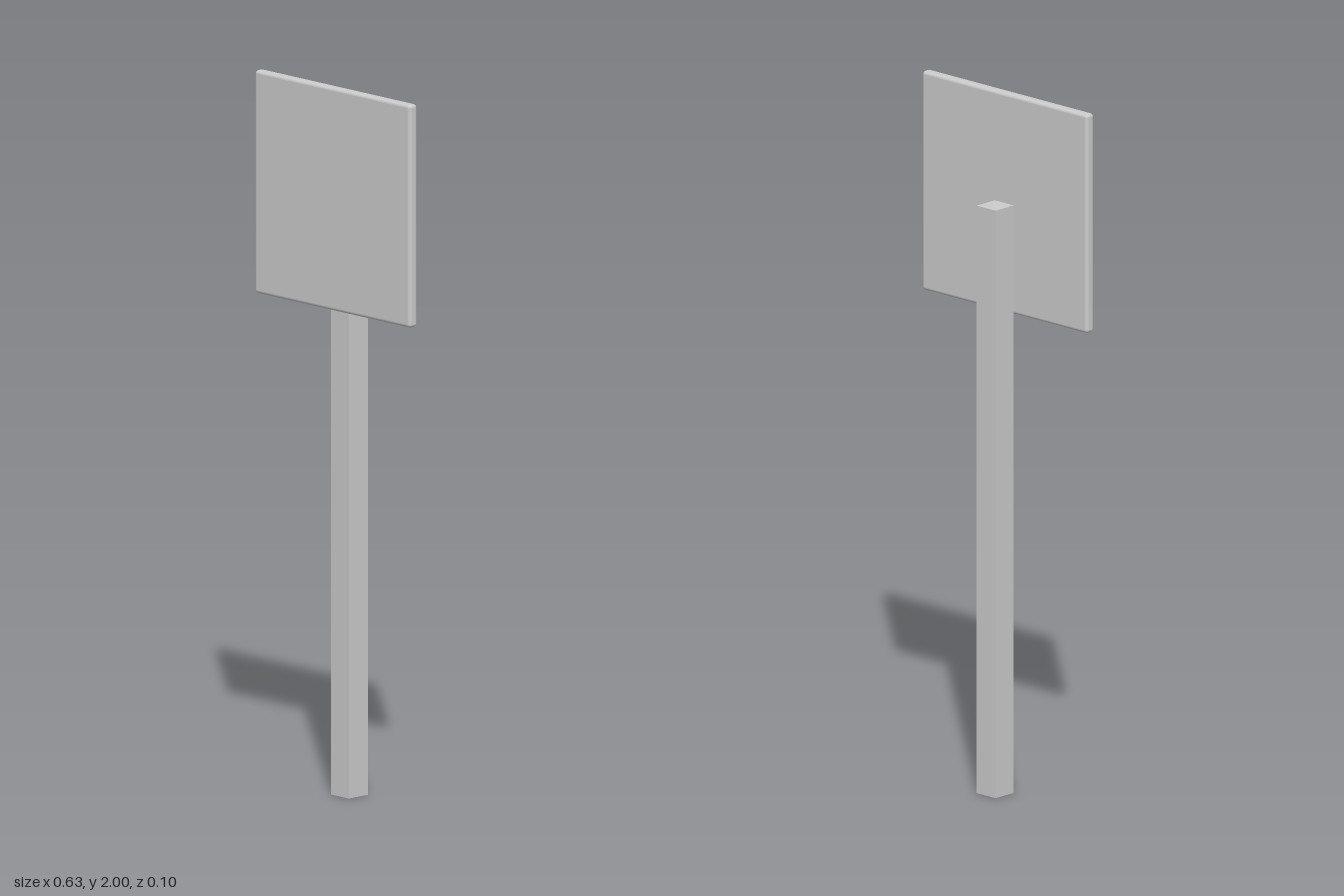
import * as THREE from 'three';
import { RoundedBoxGeometry } from 'three/addons/geometries/RoundedBoxGeometry.js';

export function createModel() {
  const group = new THREE.Group();
  group.name = 'signpost';
  const material = new THREE.MeshStandardMaterial({ color: 0xcccccc });

  const add = (name, geometry, x, y, z) => {
    const mesh = new THREE.Mesh(geometry, material);
    mesh.name = name;
    mesh.position.set(x, y, z);
    group.add(mesh);
  };

  // Square post, its front face against the back of the board
  const postHeight = 1.685, postWidth = 0.072;
  add('post', new THREE.BoxGeometry(postWidth, postHeight, postWidth), 0, postHeight / 2, -0.016);

  // Thin square board with softly rounded edges
  const boardSize = 0.628, boardDepth = 0.03;
  add('signBoard', new RoundedBoxGeometry(boardSize, boardSize, boardDepth, 3, 0.01),
    0, 2 - boardSize / 2, 0.035);

  return group;
}
